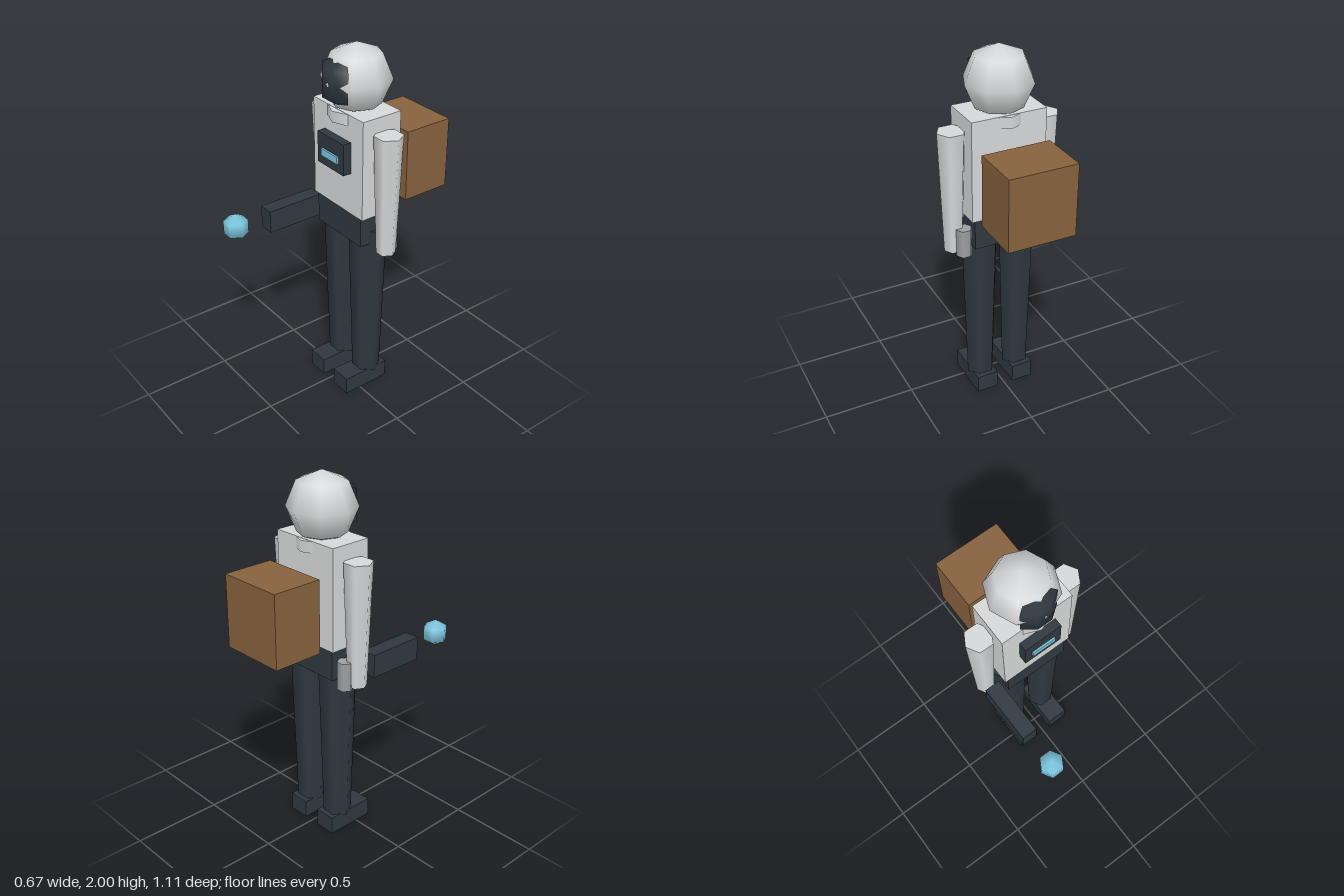
import * as THREE from 'three';

const mat = (name, color) => {
  const m = new THREE.MeshStandardMaterial({ color });
  m.name = name;
  return m;
};

export function createModel() {
  const group = new THREE.Group();
  const white = mat('suit white', 0xd6d7d8);
  const grey = mat('glove grey', 0x9ca0a4);
  const dark = mat('dark slate', 0x2f383f);
  const brown = mat('pack brown', 0x86613d);
  const cyan = mat('glow cyan', 0x7cc6de);

  const add = (name, geometry, material, x, y, z) => {
    const mesh = new THREE.Mesh(geometry, material);
    mesh.name = name;
    mesh.position.set(x, y, z);
    group.add(mesh);
    return mesh;
  };
  // box given by its min and max corners
  const box = (name, material, [x0, y0, z0], [x1, y1, z1]) =>
    add(name, new THREE.BoxGeometry(x1 - x0, y1 - y0, z1 - z0), material,
      (x0 + x1) / 2, (y0 + y1) / 2, (z0 + z1) / 2);
  // six-sided tapered limb with corners pointing sideways
  const limb = (name, material, rTop, rBottom, y0, y1, x, z) =>
    add(name, new THREE.CylinderGeometry(rTop, rBottom, y1 - y0, 6).rotateY(Math.PI / 2),
      material, x, (y0 + y1) / 2, z);

  // head and faceted visor that sinks into the helmet
  add('helmet', new THREE.SphereGeometry(0.183, 8, 4), white, 0, 1.818, -0.09);
  const half = THREE.MathUtils.degToRad(55);
  const visor = add('visor',
    new THREE.SphereGeometry(0.149, 2, 3, Math.PI / 2 - half, half * 2), dark, -0.004, 1.818, -0.034);
  visor.scale.y = 1.05;
  visor.material.side = THREE.DoubleSide;

  // body
  add('collar', new THREE.CylinderGeometry(0.148, 0.148, 0.06, 8), white, 0, 1.645, -0.086);
  box('torso', white, [-0.204, 1.13, -0.209], [0.204, 1.677, 0.027]);
  box('pelvis', dark, [-0.183, 0.96, -0.195], [0.183, 1.13, 0.02]);
  box('chestPanel', dark, [-0.108, 1.362, 0.02], [0.108, 1.534, 0.074]);
  box('chestScreen', cyan, [-0.067, 1.414, 0.074], [0.067, 1.454, 0.084]);
  box('backpack', brown, [-0.185, 1.143, -0.557], [0.185, 1.534, -0.278]);

  // limbs, mirrored
  for (const s of [-1, 1]) {
    const side = s > 0 ? 'left' : 'right';
    limb(side + 'Arm', white, 0.076, 0.052, 0.93, 1.598, s * 0.258, -0.09);
    limb(side + 'Glove', grey, 0.043, 0.043, 0.915, 1.07, s * 0.222, -0.142);
    limb(side + 'Leg', dark, 0.103, 0.077, 0.09, 1.03, s * 0.108, -0.088);
    box(side + 'Boot', dark, [s * 0.108 - 0.06, 0, -0.184], [s * 0.108 + 0.06, 0.1, 0.095]);
  }

  // handheld tool and floating orb
  box('tool', dark, [-0.303, 0.96, -0.014], [-0.218, 1.087, 0.31]);
  add('orb', new THREE.SphereGeometry(0.075, 6, 3), cyan, -0.262, 1.046, 0.495);

  return group;
}
